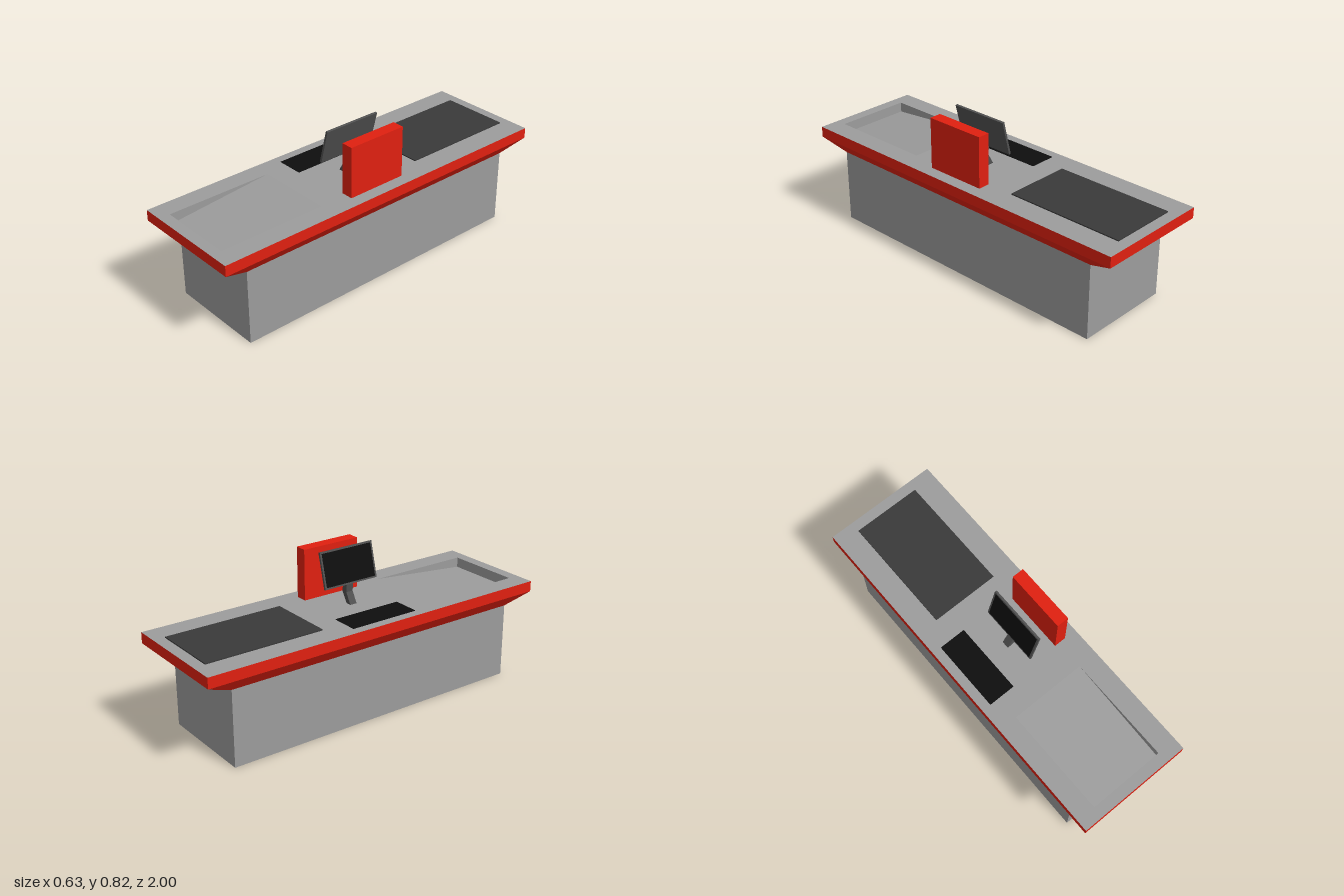
import * as THREE from 'three';

const mat = (color) => new THREE.MeshStandardMaterial({ color, flatShading: true });

// Geometry from four-cornered faces, corners counter-clockwise from outside
function quads(faces) {
  const pos = [];
  for (const [a, b, c, d] of faces) pos.push(...a, ...b, ...c, ...a, ...c, ...d);
  const g = new THREE.BufferGeometry();
  g.setAttribute('position', new THREE.Float32BufferAttribute(pos, 3));
  g.computeVertexNormals();
  return g;
}

// Rectangular loop at height y, running +z left, +z right, -z right, -z left
const loop = (x, y, z) => [[-x, y, z], [x, y, z], [x, y, -z], [-x, y, -z]];

// Side faces joining a lower loop to an upper one
const band = (lo, hi) => lo.map((p, i) => {
  const j = (i + 1) % 4;
  return [p, lo[j], hi[j], hi[i]];
});

export function createModel() {
  const model = new THREE.Group();
  const grey = mat(0x9c9c9c), red = mat(0xe02010), dark = mat(0x3a3a3a);
  const frameGrey = mat(0x505050), black = mat(0x0e0e0e);
  const TOP = 0.525;

  const add = (name, geometry, material, parent = model) => {
    const m = new THREE.Mesh(geometry, material);
    m.name = name;
    parent.add(m);
    return m;
  };
  // Box given by its limits on each axis
  const box = (name, material, [x0, x1], [y0, y1], [z0, z1]) => {
    const m = add(name, new THREE.BoxGeometry(x1 - x0, y1 - y0, z1 - z0), material);
    m.position.set((x0 + x1) / 2, (y0 + y1) / 2, (z0 + z1) / 2);
    return m;
  };

  // Cabinet
  box('cabinet', grey, [-0.27, 0.27], [0, 0.405], [-0.855, 0.855]);

  // Counter edge: upright rim over a bevelled underside
  const under = loop(0.27, 0.405, 0.855), mid = loop(0.315, 0.467, 1), rim = loop(0.315, TOP, 1);
  add('counterEdge', quads([...band(under, mid), ...band(mid, rim)]), red);

  // Worktop with an opening for the sloping tray
  const x0 = -0.21, x1 = 0.205, z0 = 0.36, z1 = 0.94, low = 0.47;
  const rect = (T, a, b, c, d) => new T([[a, c], [b, c], [b, d], [a, d]].map((p) => new THREE.Vector2(...p)));
  const top = rect(THREE.Shape, -0.315, 0.315, -1, 1);
  top.holes.push(rect(THREE.Path, x0, x1, -z1, -z0));
  add('worktop', new THREE.ShapeGeometry(top).rotateX(-Math.PI / 2).translate(0, TOP, 0), grey);

  // Tray: floor flush at one end, dropping towards the front
  const trayMat = grey.clone();
  trayMat.side = THREE.DoubleSide;
  const backL = [x0, TOP, z0], backR = [x1, TOP, z0];
  const lowL = [x0, low, z1], lowR = [x1, low, z1];
  const topL = [x0, TOP, z1], topR = [x1, TOP, z1];
  const tray = quads([
    [lowL, lowR, backR, backL],
    [lowR, lowL, topL, topR],
    [backL, topL, lowL, lowL],
    [backR, lowR, topR, topR],
  ]);
  add('slopingTray', tray, trayMat);

  // Conveyor belt, scanner plate and divider
  box('conveyorBelt', dark, [-0.19, 0.185], [TOP - 0.01, 0.531], [-0.94, -0.29]);
  box('scannerPlate', black, [-0.265, -0.117], [TOP - 0.01, 0.527], [-0.16, 0.23]);
  box('divider', red, [0.182, 0.247], [TOP, 0.8], [-0.135, 0.2]);

  // Monitor leaning back, screen towards -x
  const monitor = new THREE.Group();
  monitor.name = 'monitor';
  monitor.position.set(0.0425, 0.722, 0.0375);
  monitor.rotation.z = -0.255;
  model.add(monitor);
  add('monitorFrame', new THREE.BoxGeometry(0.012, 0.192, 0.325), frameGrey, monitor);
  add('screen', new THREE.BoxGeometry(0.002, 0.174, 0.305), black, monitor).position.x = -0.006;

  // Bent monitor stand
  const profile = [[-0.007, TOP], [0.025, TOP], [0.062, 0.584], [0.039, 0.685], [0.023, 0.628], [0.027, 0.584]];
  const standShape = new THREE.Shape(profile.map((p) => new THREE.Vector2(...p)));
  const stand = new THREE.ExtrudeGeometry(standShape, { depth: 0.04, bevelEnabled: false });
  add('monitorStand', stand.translate(0, 0, 0.015), frameGrey);

  return model;
}
